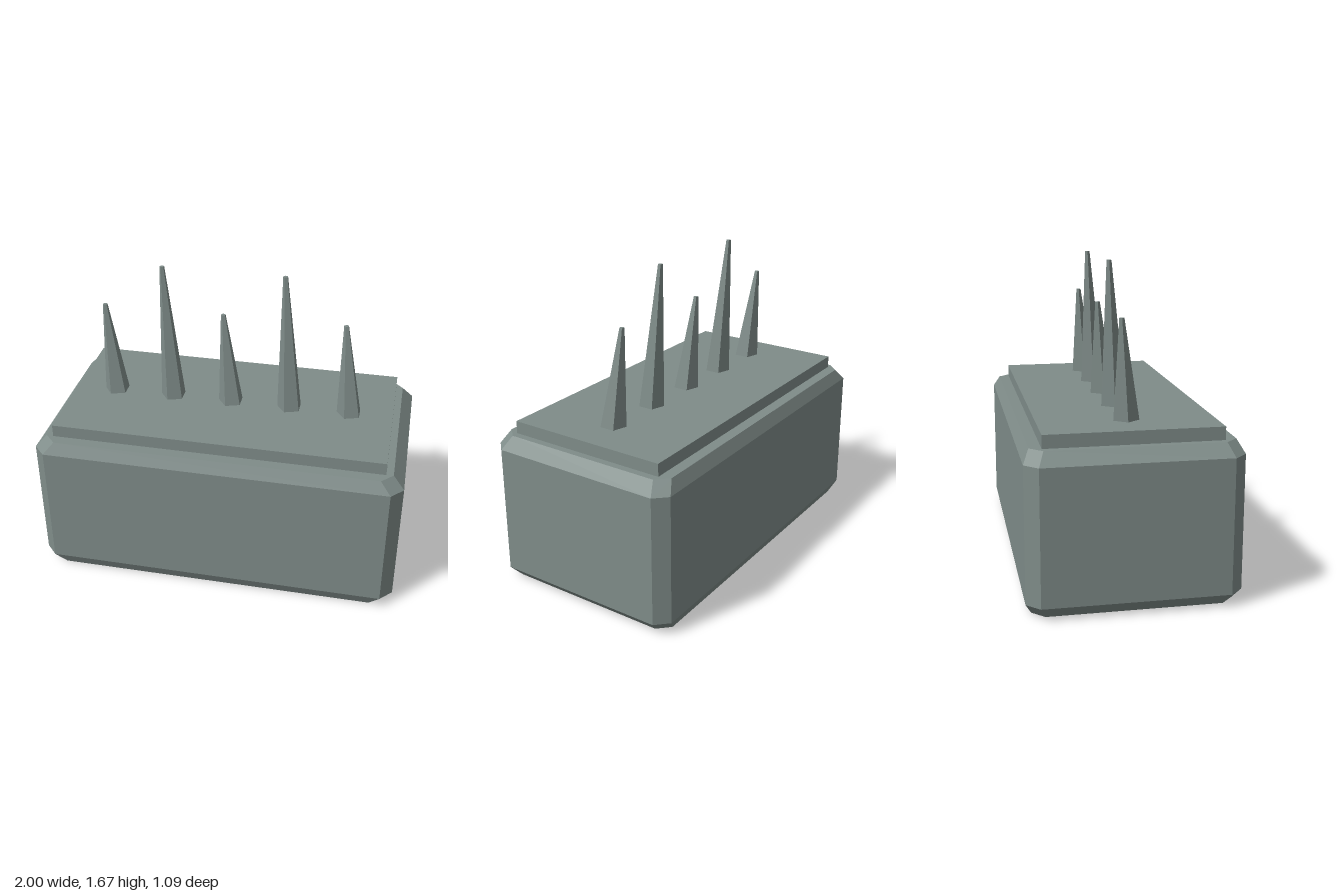
import * as THREE from 'three';
import { ConvexGeometry } from 'three/addons/geometries/ConvexGeometry.js';

const stone = new THREE.MeshStandardMaterial({ color: 0x7f8c89, flatShading: true });
stone.name = 'grey stone';

function addMesh(parent, name, geometry) {
  const mesh = new THREE.Mesh(geometry, stone);
  mesh.name = name;
  parent.add(mesh);
  return mesh;
}

// Block with every edge cut: octagonal rings, narrower at top and bottom
function chamferedBlock() {
  const rings = [[0, 0.94], [0.068, 1], [0.77, 1], [0.835, 0.94]];
  const corners = [[1, 0.475], [0.935, 0.543]];
  const points = [];
  for (const [y, s] of rings)
    for (const [x, z] of corners)
      for (const sx of [-1, 1])
        for (const sz of [-1, 1])
          points.push(new THREE.Vector3(sx * x * s, y, sz * z * s));
  return new ConvexGeometry(points);
}

// Five-sided tapering spike whose tip leans to one side and back
function leaningSpike(height) {
  const g = new THREE.CylinderGeometry(0.0135, 0.07, height, 5, 1, false, -Math.PI / 2);
  g.translate(0, height / 2, 0);
  const p = g.attributes.position;
  for (let i = 0; i < p.count; i++) {
    const t = p.getY(i) / height;
    p.setX(i, p.getX(i) - 0.05 * t);
    p.setZ(i, p.getZ(i) - 0.032 * t);
  }
  g.computeVertexNormals();
  return g;
}

export function createModel() {
  const model = new THREE.Group();
  model.name = 'spikedBlock';

  addMesh(model, 'body', chamferedBlock());

  const slab = addMesh(model, 'topSlab', new THREE.BoxGeometry(1.804, 0.09, 0.9));
  slab.position.y = 0.858;

  // Short and tall spikes alternate along the slab
  const spikes = new THREE.Group();
  spikes.name = 'spikes';
  model.add(spikes);
  for (let i = 0; i < 5; i++) {
    const spike = addMesh(spikes, 'spike' + (i + 1), leaningSpike(i % 2 ? 0.77 : 0.518));
    spike.position.set(-0.003 + (i - 2) * 0.333, 0.902, 0);
  }
  return model;
}
